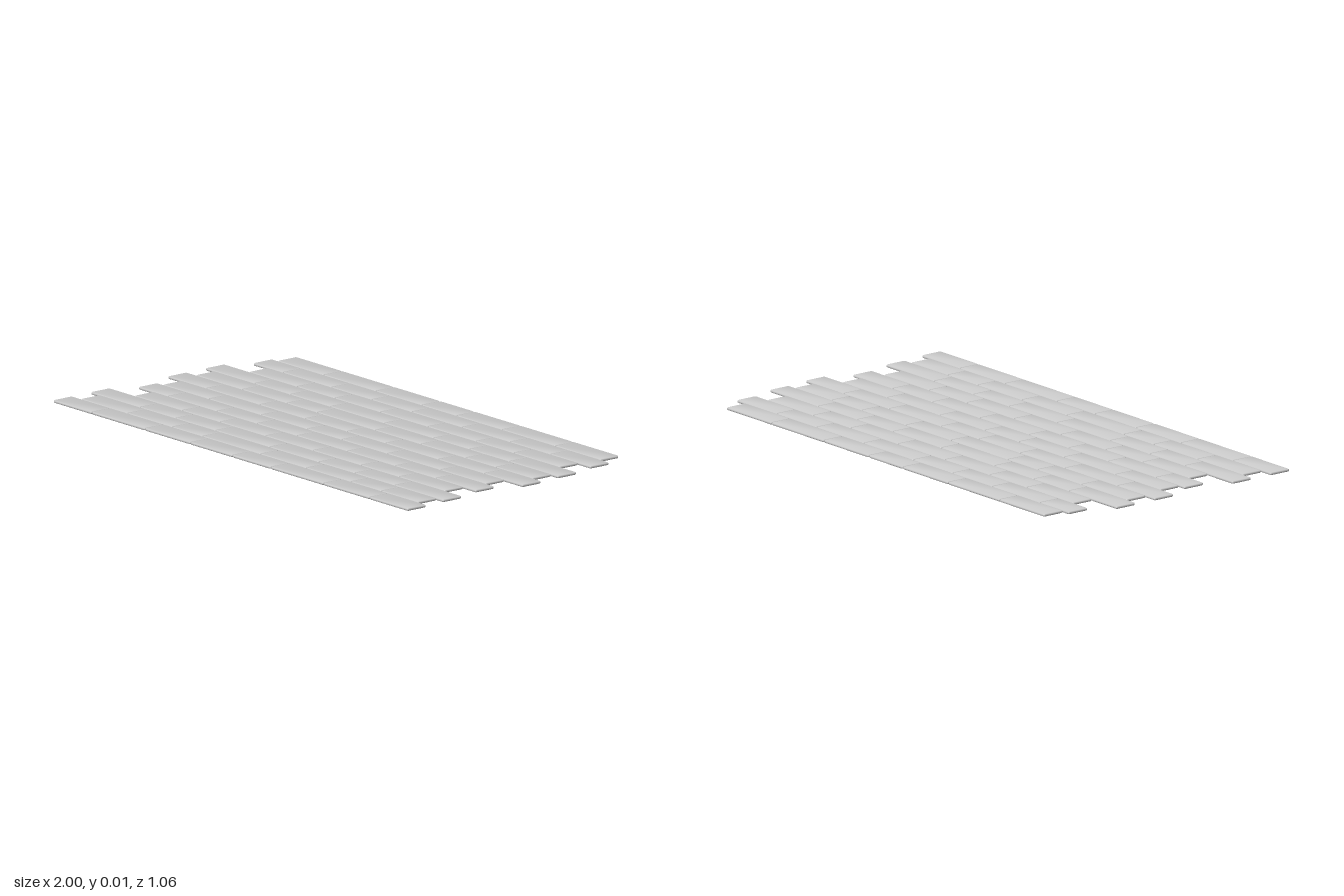
import * as THREE from 'three';
import { mergeVertices } from 'three/addons/utils/BufferGeometryUtils.js';

const HEIGHT = 0.009, BEVEL = 0.002, RADIUS = 0.007, GAP = 0.002;
const PITCH = 0.0887, ROWS = 12;

// Joint positions along x for the six row layouts, from back to front
const LAYOUTS = [
  [-0.917, -0.66, -0.366, -0.107, 0.088, 0.345, 0.644, 0.9],
  [-0.947, -0.781, -0.508, -0.281, -0.056, 0.227, 0.497, 0.725, 0.952],
  [-0.861, -0.594, -0.382, -0.126, 0.142, 0.412, 0.626, 0.885],
  [-1, -0.725, -0.524, -0.299, 0.005, 0.281, 0.484, 0.709, 0.984],
  [-0.947, -0.687, -0.436, -0.265, 0.061, 0.318, 0.57, 0.741, 0.949],
  [-0.997, -0.781, -0.481, -0.225, 0.011, 0.227, 0.524, 0.783, 1],
];

// Thin plank with rounded corners, small bevels and softly shaded edges
function plankGeometry(width, depth) {
  const x = width / 2, y = depth / 2, r = RADIUS;
  const shape = new THREE.Shape();
  shape.absarc(x - r, y - r, r, 0, Math.PI / 2);
  shape.absarc(-x + r, y - r, r, Math.PI / 2, Math.PI);
  shape.absarc(-x + r, -y + r, r, Math.PI, Math.PI * 1.5);
  shape.absarc(x - r, -y + r, r, Math.PI * 1.5, Math.PI * 2);
  let geo = new THREE.ExtrudeGeometry(shape, {
    depth: HEIGHT - 2 * BEVEL, curveSegments: 3,
    bevelThickness: BEVEL, bevelSize: BEVEL, bevelOffset: -BEVEL, bevelSegments: 1,
  });
  geo.rotateX(-Math.PI / 2).translate(0, BEVEL, 0);
  geo.deleteAttribute('uv');
  geo.deleteAttribute('normal');
  geo = mergeVertices(geo, 1e-5);
  geo.computeVertexNormals();

  // Lean the normals outward so the top reads as slightly crowned
  const pos = geo.attributes.position, nor = geo.attributes.normal;
  const n = new THREE.Vector3();
  for (let i = 0; i < pos.count; i++) {
    const px = pos.getX(i), py = pos.getY(i), pz = pos.getZ(i);
    const top = py > HEIGHT - BEVEL / 2, bottom = py < BEVEL / 2;
    n.set(px - THREE.MathUtils.clamp(px, -x + r, x - r), 0,
      pz - THREE.MathUtils.clamp(pz, -y + r, y - r)).normalize();
    if (top || bottom) n.multiplyScalar(0.25).setY(top ? 1 : -1);
    else n.setY(py > HEIGHT / 2 ? 0.4 : -0.4);
    n.normalize();
    nor.setXYZ(i, n.x, n.y, n.z);
  }
  return geo;
}

export function createModel() {
  const floor = new THREE.Group();
  floor.name = 'plankFloor';
  const material = new THREE.MeshStandardMaterial({ color: 0xcccccc });

  for (let row = 0; row < ROWS; row++) {
    const group = new THREE.Group();
    group.name = `plankRow${row + 1}`;
    group.position.z = (row - (ROWS - 1) / 2) * PITCH;
    const joints = LAYOUTS[row % LAYOUTS.length];
    for (let i = 0; i < joints.length - 1; i++) {
      // Only inner joints leave a gap
      const left = joints[i] + (i > 0 ? GAP / 2 : 0);
      const right = joints[i + 1] - (i < joints.length - 2 ? GAP / 2 : 0);
      const plank = new THREE.Mesh(plankGeometry(right - left, PITCH - GAP), material);
      plank.name = `plank${i + 1}`;
      plank.position.x = (left + right) / 2;
      group.add(plank);
    }
    floor.add(group);
  }
  return floor;
}
